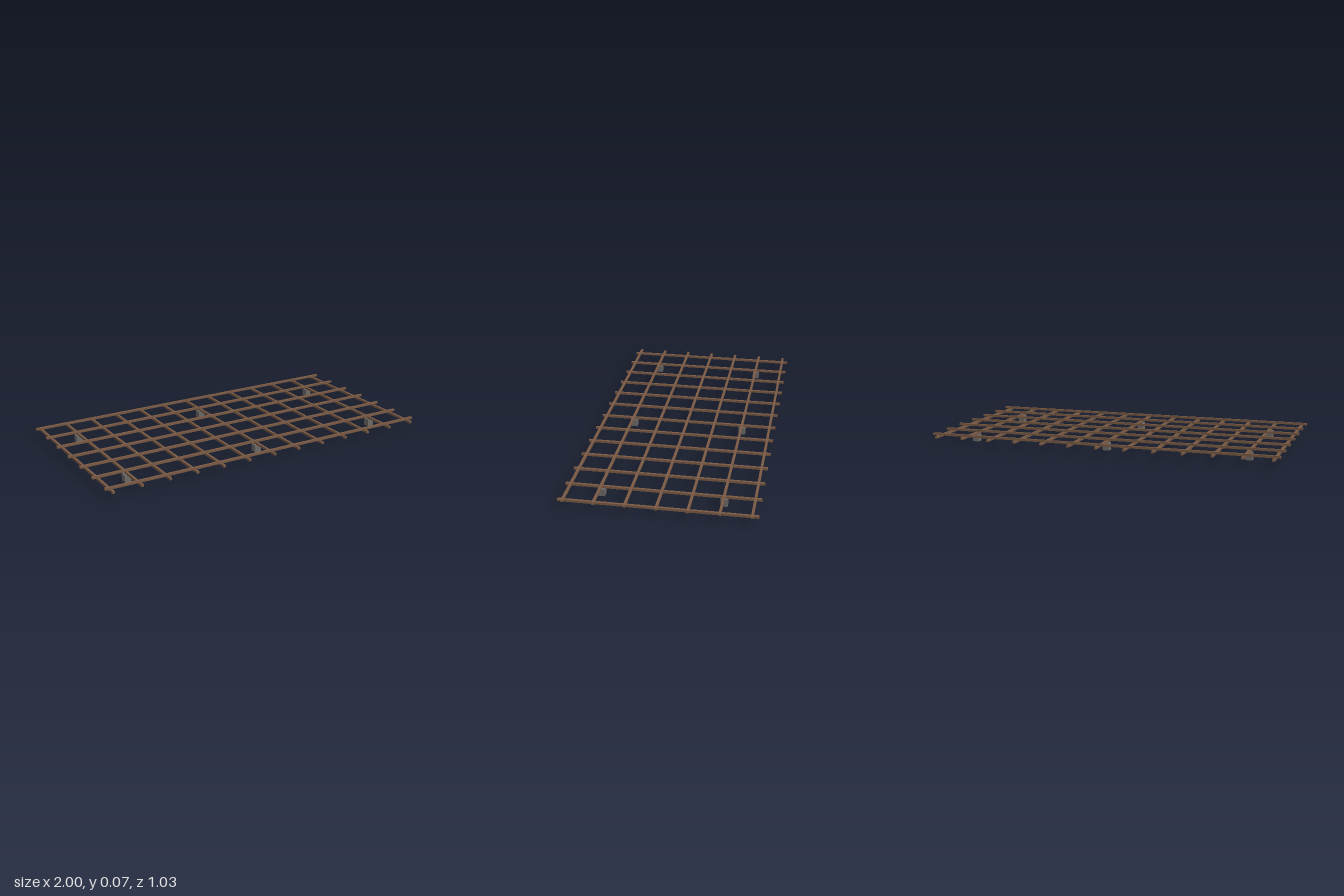
import * as THREE from 'three';

export function createModel() {
  const model = new THREE.Group();
  model.name = 'reinforcementMesh';

  const rust = new THREE.MeshStandardMaterial({ color: 0x7a5a44 });
  rust.name = 'rusty steel';
  const concrete = new THREE.MeshStandardMaterial({ color: 0x6c6a67 });
  concrete.name = 'grey concrete';

  const pitch = 0.161; // spacing of the bars
  const bar = 0.013;   // thickness of the square bars
  const blockHeight = 0.041;

  const add = (name, geometry, material, x, y, z) => {
    const mesh = new THREE.Mesh(geometry, material);
    mesh.name = name;
    mesh.position.set(x, y, z);
    model.add(mesh);
  };

  // Upper layer: long bars running left to right
  const longBar = new THREE.BoxGeometry(2, bar, bar);
  for (let i = -3; i <= 3; i++) add('longBar', longBar, rust, 0, blockHeight + 1.5 * bar, i * pitch);

  // Lower layer: cross bars running front to back
  const crossBar = new THREE.BoxGeometry(bar, bar, 1.032);
  for (let i = -6; i <= 6; i++) add('crossBar', crossBar, rust, i * pitch, blockHeight + 0.5 * bar, 0);

  // Spacer blocks holding the mesh off the ground
  const block = new THREE.BoxGeometry(0.038, blockHeight, 0.038);
  for (const i of [-5, 0, 5])
    for (const j of [-2, 2]) add('spacerBlock', block, concrete, i * pitch, blockHeight / 2, j * pitch);

  return model;
}
